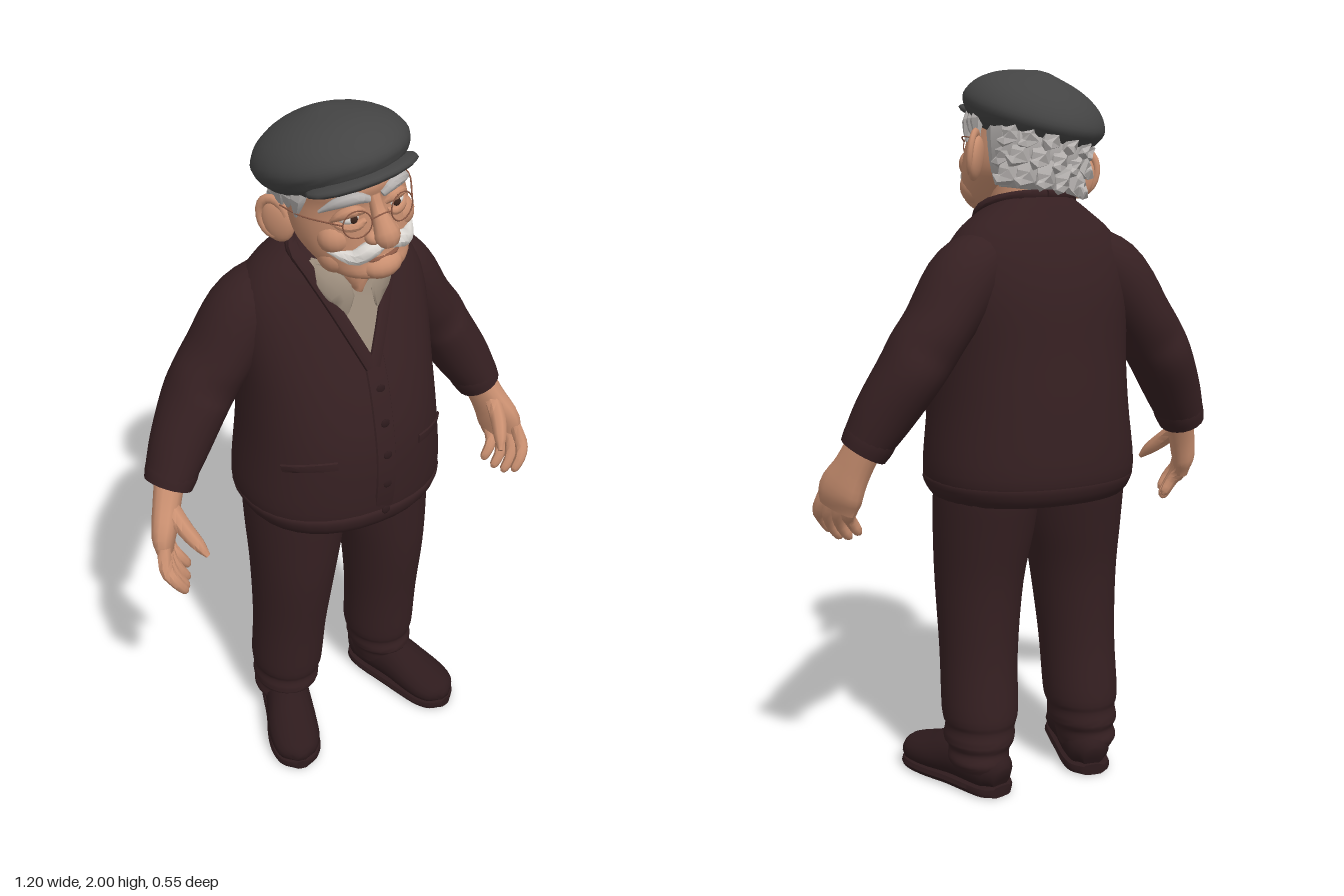
import * as THREE from 'three';
import { toCreasedNormals } from 'three/addons/utils/BufferGeometryUtils.js';

const colours = {
  wool: 0x362022, trouser: 0x362022, leather: 0x2e1b1d, capCloth: 0x444444, hairGrey: 0xb6b2b0,
  white: 0xdedad5, skin: 0xc98f70, shirtCloth: 0x9a8b7b, darkBrown: 0x3a241c, wire: 0x8a5844,
};
const mat = {};
for (const [name, color] of Object.entries(colours)) {
  mat[name] = new THREE.MeshStandardMaterial({ color });
  mat[name].name = name;
}

function add(parent, name, geometry, material, position = [0, 0, 0], scale = [1, 1, 1], rotation = [0, 0, 0]) {
  const mesh = new THREE.Mesh(geometry, material);
  mesh.name = name;
  mesh.position.set(...position);
  mesh.scale.set(...scale);
  mesh.rotation.set(...rotation);
  parent.add(mesh);
  return mesh;
}

// Rows are [x, y, z, radiusA, radiusB]; this fills in a smooth run between them.
function smooth(rows, steps) {
  const centres = new THREE.CatmullRomCurve3(rows.map(r => new THREE.Vector3(r[0], r[1], r[2])), false, 'catmullrom');
  const radii = new THREE.CatmullRomCurve3(rows.map(r => new THREE.Vector3(r[3], r[4], 0)), false, 'catmullrom');
  return Array.from({ length: steps + 1 }, (_, i) => {
    const p = centres.getPoint(i / steps), r = radii.getPoint(i / steps);
    return { p, t: centres.getTangent(i / steps), a: Math.max(r.x, 0.001), b: Math.max(r.y, 0.001) };
  });
}

// Skin cross-sections along a run of rows. ref = null keeps them level; otherwise radiusB lies along ref.
function skinRows(dense, ref, sides, n, crease) {
  const pos = [], index = [];
  const pw = v => Math.sign(v) * Math.abs(v) ** (2 / n);
  for (const { p, t, a, b } of dense) {
    const u = new THREE.Vector3(1, 0, 0), v = new THREE.Vector3(0, 0, 1);
    if (ref) {
      u.crossVectors(t, ref).normalize();
      v.crossVectors(u, t).normalize();
    }
    for (let j = 0; j < sides; j++) {
      const ang = j / sides * Math.PI * 2;
      const q = p.clone().addScaledVector(u, a * pw(Math.cos(ang))).addScaledVector(v, b * pw(Math.sin(ang)));
      pos.push(q.x, q.y, q.z);
    }
  }
  const last = dense.length - 1, c0 = dense.length * sides;
  pos.push(...dense[0].p.toArray(), ...dense[last].p.toArray());
  for (let j = 0; j < sides; j++) {
    const k = (j + 1) % sides;
    for (let i = 0; i < last; i++) {
      const a = i * sides + j, b = i * sides + k;
      index.push(a, a + sides, b, b, a + sides, b + sides);
    }
    index.push(c0, j, k, c0 + 1, last * sides + k, last * sides + j);
  }
  const g = new THREE.BufferGeometry();
  g.setAttribute('position', new THREE.Float32BufferAttribute(pos, 3));
  g.setIndex(index);
  return toCreasedNormals(g, crease);
}
const stack = (rows, steps = 24, sides = 28, n = 2, crease = 0.8) => skinRows(smooth(rows, steps), null, sides, n, crease);
const sweep = (rows, ref = [0, 0, 1], steps = 10, sides = 10, n = 2, crease = 0.8) =>
  skinRows(smooth(rows, steps), new THREE.Vector3(...ref), sides, n, crease);
const ball = new THREE.SphereGeometry(1, 16, 12);

// Cardigan body, with a lookup for its front surface
const torsoPower = 2.2;
const torso = smooth([
  [0, 0.85, -0.012, 0.265, 0.224], [0, 0.875, -0.015, 0.285, 0.243], [0, 0.93, -0.017, 0.298, 0.256],
  [0, 1.1, -0.013, 0.28, 0.252], [0, 1.25, -0.022, 0.272, 0.228], [0, 1.4, -0.042, 0.275, 0.193],
  [0, 1.5, -0.05, 0.262, 0.16], [0, 1.57, -0.05, 0.22, 0.132], [0, 1.62, -0.048, 0.16, 0.106], [0, 1.66, -0.06, 0.1, 0.07],
], 36);
function onTorso(x, y, off = 0.005) {
  let i = 0;
  while (i < torso.length - 2 && torso[i + 1].p.y < y) i++;
  const A = torso[i], B = torso[i + 1], f = (y - A.p.y) / (B.p.y - A.p.y);
  const mix = THREE.MathUtils.lerp;
  const edge = Math.max(0, 1 - Math.abs(x / mix(A.a, B.a, f)) ** torsoPower) ** (1 / torsoPower);
  return [x, y, mix(A.p.z, B.p.z, f) + mix(A.b, B.b, f) * edge + off];
}

// Thin panel following the chest between two heights
function chestPanel(y0, y1, halfWidth, off) {
  const g = new THREE.PlaneGeometry(2, 1, 12, 14), p = g.attributes.position;
  for (let i = 0; i < p.count; i++) {
    const y = y0 + (y1 - y0) * (p.getY(i) + 0.5);
    p.setXYZ(i, ...onTorso(p.getX(i) * halfWidth(y), y, off));
  }
  g.computeVertexNormals();
  return g;
}

function buildBody(root) {
  const body = new THREE.Group();
  body.name = 'cardigan';
  root.add(body);
  add(body, 'cardiganBody', skinRows(torso, null, 36, torsoPower, 0.8), mat.wool);
  add(body, 'hemBand', stack([[0, 0.848, -0.012, 0.272, 0.232], [0, 0.87, -0.013, 0.288, 0.248],
    [0, 0.9, -0.014, 0.298, 0.256], [0, 0.915, -0.014, 0.285, 0.245]], 8, 36, torsoPower), mat.wool);
  add(body, 'shirtFront', chestPanel(1.345, 1.615, y => 0.004 + 0.118 * (y - 1.345) / 0.265, 0.007), mat.shirtCloth);
  add(body, 'shirtCollar', stack([[0, 1.53, 0, 0.09, 0.1], [0, 1.57, 0, 0.108, 0.112], [0, 1.608, 0, 0.115, 0.115]], 6), mat.shirtCloth);
  add(body, 'neck', stack([[0, 1.53, 0.02, 0.02, 0.1], [0, 1.56, 0.02, 0.05, 0.107], [0, 1.59, 0.02, 0.072, 0.11],
    [0, 1.63, 0.02, 0.09, 0.105], [0, 1.7, 0.01, 0.09, 0.09]], 10), mat.skin);
  // Button band and buttons
  const band = [1.36, 1.25, 1.1, 0.98, 0.86].map(y => [...onTorso(0.01, y, 0), 0.03, 0.006]);
  add(body, 'buttonBand', sweep(band, [0, 0, 1], 16, 10, 4), mat.wool);
  for (let i = 0; i < 5; i++) add(body, 'button', ball, mat.leather, onTorso(0.012, 1.28 - i * 0.093, 0.006), [0.013, 0.013, 0.004]);

  for (const s of [1, -1]) {
    const vEdge = [[0.004, 1.34], [0.04, 1.42], [0.08, 1.51], [0.117, 1.59]].map(([x, y]) => [...onTorso(s * x, y), 0.018, 0.009]);
    add(body, 'neckBand', sweep([...vEdge, [s * 0.128, 1.635, -0.01, 0.018, 0.014], [s * 0.075, 1.662, -0.1, 0.015, 0.012],
      [0, 1.665, -0.115, 0.015, 0.012]], [0, 0.2, 1], 20, 10, 3), mat.wool);
    add(body, 'collarFlap', sweep([[s * 0.112, 1.612, 0.02, 0.014, 0.007], [s * 0.09, 1.58, 0.085, 0.03, 0.008],
      [s * 0.056, 1.535, 0.116, 0.034, 0.007], [s * 0.045, 1.48, 0.123, 0.004, 0.004]], [s * 0.4, 0.3, 1], 8, 8, 3), mat.shirtCloth);
    // Patch pocket outline
    const pocket = (name, pts, r, ref) => add(body, name, sweep(pts.map(([x, y]) => [...onTorso(s * x, y, 0), r, 0.005]), ref, 6, 8, 3), mat.wool);
    pocket('pocketTop', [[0.125, 1.09], [0.16, 1.088], [0.21, 1.08], [0.245, 1.07]], 0.014, [0, 0.02, 1]);

    // Sleeve and cuff
    add(body, 'sleeve', sweep([[s * 0.12, 1.53, -0.06, 0.07, 0.09], [s * 0.222, 1.45, -0.08, 0.1, 0.11],
      [s * 0.31, 1.33, -0.09, 0.09, 0.11], [s * 0.355, 1.265, -0.09, 0.092, 0.102], [s * 0.39, 1.21, -0.085, 0.086, 0.107],
      [s * 0.45, 1.11, -0.062, 0.08, 0.088], [s * 0.495, 1.03, -0.042, 0.066, 0.076]], [0, 0, 1], 26, 20), mat.wool);
    add(body, 'cuff', sweep([[s * 0.47, 1.072, -0.052, 0.068, 0.074], [s * 0.488, 1.038, -0.045, 0.07, 0.078],
      [s * 0.503, 1.008, -0.038, 0.064, 0.074]], [0, 0, 1], 6, 20), mat.wool);
    buildHand(root, s);
    buildLeg(root, s);
  }
}

// Broad hand, palm turned inwards and a little forwards
function buildHand(root, s) {
  const hand = new THREE.Group();
  hand.name = s > 0 ? 'leftHand' : 'rightHand';
  root.add(hand);
  add(hand, 'palm', sweep([[s * 0.495, 1.03, -0.04, 0.042, 0.048], [s * 0.523, 0.96, -0.012, 0.038, 0.055],
    [s * 0.547, 0.895, 0.015, 0.034, 0.07], [s * 0.553, 0.845, 0.03, 0.021, 0.06]], [s * 0.55, 0, 1], 10, 14, 2.5), mat.skin);
  for (let k = 0; k < 4; k++) {
    const x = 0.573 - 0.016 * k, z = 0.075 - 0.03 * k, drop = [0.015, 0, 0.003, 0.02][k];
    add(hand, 'finger', sweep([[s * x, 0.885, z - 0.008, 0.019, 0.019], [s * (x + 0.008), 0.835, z + 0.02, 0.02, 0.019],
      [s * (x - 0.006), 0.79 + drop, z + 0.042, 0.017, 0.016], [s * (x - 0.028), 0.755 + drop, z + 0.046, 0.014, 0.013],
      [s * (x - 0.036), 0.745 + drop, z + 0.046, 0.005, 0.005]], [0, 0, 1], 9, 8), mat.skin);
  }
  add(hand, 'thumb', sweep([[s * 0.525, 0.975, 0.005, 0.022, 0.026], [s * 0.51, 0.93, 0.065, 0.024, 0.024],
    [s * 0.49, 0.895, 0.108, 0.019, 0.019], [s * 0.475, 0.868, 0.135, 0.007, 0.007]], [1, 0, 0], 8, 8), mat.skin);
}

function buildLeg(root, s) {
  const leg = new THREE.Group();
  leg.name = s > 0 ? 'leftLeg' : 'rightLeg';
  root.add(leg);
  add(leg, 'trouserLeg', stack([[s * 0.175, 0.07, -0.045, 0.075, 0.09], [s * 0.178, 0.095, -0.045, 0.084, 0.1],
    [s * 0.172, 0.125, -0.04, 0.084, 0.1], [s * 0.17, 0.15, -0.035, 0.098, 0.114], [s * 0.166, 0.19, -0.035, 0.096, 0.11],
    [s * 0.165, 0.23, -0.032, 0.106, 0.118], [s * 0.16, 0.4, -0.016, 0.108, 0.123], [s * 0.152, 0.6, -0.005, 0.12, 0.145],
    [s * 0.141, 0.75, -0.012, 0.135, 0.166], [s * 0.136, 0.86, -0.02, 0.138, 0.18], [s * 0.136, 0.9, -0.02, 0.13, 0.17]], 40, 24), mat.trouser);
  const shoe = [[0.15, 0.05, -0.138, 0.03, 0.035], [0.156, 0.064, -0.11, 0.058, 0.058], [0.166, 0.072, -0.06, 0.068, 0.068],
    [0.195, 0.078, 0.03, 0.07, 0.074], [0.225, 0.062, 0.11, 0.076, 0.058], [0.244, 0.052, 0.17, 0.073, 0.047],
    [0.254, 0.046, 0.21, 0.055, 0.038], [0.26, 0.04, 0.234, 0.015, 0.015]];
  add(leg, 'shoe', sweep(shoe.map(([x, ...r]) => [s * x, ...r]), [0, 1, 0], 24, 16), mat.leather);
  add(leg, 'sole', sweep(shoe.map(([x, y, z, w]) => [s * x, 0.016, z * 1.01, w + 0.002, 0.016]), [0, 1, 0], 24, 12, 4), mat.leather);
}

function buildHead(root) {
  const head = new THREE.Group();
  head.name = 'head';
  root.add(head);
  add(head, 'face', stack([[0, 1.607, 0.14, 0.05, 0.055], [0, 1.632, 0.125, 0.098, 0.098], [0, 1.67, 0.095, 0.128, 0.12],
    [0, 1.71, 0.07, 0.145, 0.142], [0, 1.76, 0.055, 0.15, 0.153], [0, 1.82, 0.045, 0.146, 0.158],
    [0, 1.87, 0.05, 0.143, 0.165], [0, 1.93, 0.04, 0.12, 0.135]], 26, 28), mat.skin);
  add(head, 'chin', ball, mat.skin, [0, 1.647, 0.195], [0.055, 0.036, 0.043]);
  add(head, 'noseBridge', sweep([[0, 1.84, 0.2, 0.016, 0.016], [0, 1.8, 0.213, 0.018, 0.02], [0, 1.765, 0.235, 0.028, 0.026],
    [0, 1.742, 0.243, 0.033, 0.03], [0, 1.724, 0.23, 0.018, 0.016]], [0, 0, 1], 10, 12), mat.skin);
  add(head, 'lowerLip', sweep([[-0.06, 1.688, 0.185, 0.004, 0.004], [-0.03, 1.674, 0.212, 0.006, 0.006], [0.03, 1.674, 0.212, 0.006, 0.006],
    [0.06, 1.688, 0.185, 0.004, 0.004]], [0, 0, 1], 10, 8), mat.wire);
  add(head, 'glassesBridge', sweep([[-0.026, 1.795, 0.228, 0.002, 0.002], [0, 1.803, 0.236, 0.002, 0.002], [0.026, 1.795, 0.228, 0.002, 0.002]], [0, 0, 1], 6, 6), mat.wire);

  for (const s of [1, -1]) {
    add(head, 'nostril', ball, mat.skin, [s * 0.027, 1.74, 0.218], [0.019, 0.018, 0.022]);
    add(head, 'cheek', ball, mat.skin, [s * 0.085, 1.735, 0.14], [0.048, 0.045, 0.046]);
    add(head, 'jowl', ball, mat.skin, [s * 0.088, 1.675, 0.12], [0.042, 0.048, 0.05]);
    add(head, 'eye', ball, mat.white, [s * 0.062, 1.794, 0.178], [0.026, 0.016, 0.025]);
    add(head, 'iris', ball, mat.darkBrown, [s * 0.06, 1.795, 0.2], [0.01, 0.011, 0.006]);
    const arc = (name, pts, r, m) => add(head, name, sweep(pts.map(([x, y, z], i) => [s * x, y, z, r * [0.6, 1, 0.9, 0.25][i], r * [0.6, 1, 0.9, 0.25][i]]), [0, 0, 1], 10, 8), m);
    arc('upperLid', [[0.03, 1.805, 0.195], [0.055, 1.815, 0.198], [0.085, 1.808, 0.182], [0.105, 1.788, 0.16]], 0.014, mat.skin);
    arc('eyeBag', [[0.03, 1.783, 0.2], [0.055, 1.774, 0.197], [0.082, 1.776, 0.184], [0.105, 1.787, 0.16]], 0.013, mat.skin);
    arc('eyebrow', [[0.018, 1.838, 0.21], [0.05, 1.852, 0.208], [0.09, 1.845, 0.186], [0.125, 1.82, 0.15]], 0.015, mat.hairGrey);
    arc('moustache', [[0.002, 1.714, 0.22], [0.035, 1.712, 0.22], [0.075, 1.694, 0.197], [0.118, 1.71, 0.15]], 0.022, mat.white);
    add(head, 'glassesRim', new THREE.TorusGeometry(0.036, 0.0018, 6, 24), mat.wire, [s * 0.062, 1.79, 0.219], [1, 1, 1], [0, s * 0.25, 0]);
    add(head, 'glassesTemple', sweep([[s * 0.097, 1.797, 0.21, 0.002, 0.002], [s * 0.15, 1.8, 0.11, 0.002, 0.002],
      [s * 0.16, 1.79, 0, 0.002, 0.002]], [0, 1, 0], 8, 6), mat.wire);
    // Ear with a raised rim, flaring out towards the back
    add(head, 'ear', ball, mat.skin, [s * 0.162, 1.738, -0.012], [0.02, 0.06, 0.044], [0, -s * 0.7, 0]);
    add(head, 'earRim', new THREE.TorusGeometry(0.034, 0.009, 8, 18), mat.skin, [s * 0.173, 1.752, -0.016], [1.05, 1.5, 1], [0, Math.PI / 2 - s * 0.7, 0]);
    // Temple hair
    for (let i = 0; i < 3; i++) {
      const z = 0.095 - i * 0.036;
      add(head, 'templeHair', sweep([[s * (0.126 + i * 0.006), 1.885, z, 0.022, 0.03], [s * (0.146 + i * 0.006), 1.84, z - 0.006, 0.018, 0.028],
        [s * 0.152, 1.785 + 0.012 * (i % 2), z - 0.018, 0.003, 0.004]], [0, 0, 1], 4, 6, 2, 0.3), mat.hairGrey);
    }
  }
  // Hair at the back: a mass with broad curling locks
  add(head, 'hairMass', stack([[0, 1.675, -0.04, 0.09, 0.065], [0, 1.71, -0.05, 0.122, 0.1], [0, 1.77, -0.055, 0.142, 0.118],
    [0, 1.84, -0.045, 0.15, 0.118], [0, 1.89, -0.03, 0.14, 0.1]], 8, 16, 2, 0.3), mat.hairGrey);
  for (let row = 0; row < 3; row++) {
    for (let i = 0; i < 6; i++) {
      const a = (i - 2.5 + (row % 2 - 0.5) * 0.4) * 0.42, y = 1.84 - row * 0.05, lift = 0.018 * ((i * 5 + row * 3) % 4) / 3;
      const at = (r, h, w, turn) => [Math.sin(a + turn) * (0.018 + r), h, -0.05 - Math.cos(a + turn) * r, w, w];
      add(head, 'hairLock', sweep([at(0.082, y + 0.01, 0.038, 0), at(0.104 - row * 0.005, y - 0.022, 0.036, 0.05),
        at(0.12 + lift - row * 0.005, y - 0.054, 0.02, 0.14), at(0.137 + lift - row * 0.007, y - 0.06 + lift, 0.002, 0.26)],
      [0.1, 1, 0.1], 4, 5, 2, 0.2), mat.hairGrey);
    }
  }

  // Flat cap, raised at the front and low at the back
  const cap = new THREE.Group();
  cap.name = 'flatCap';
  cap.position.set(-0.008, 1.866, 0.022);
  cap.rotation.x = -0.25;
  head.add(cap);
  add(cap, 'capCrown', stack([[0, -0.04, -0.005, 0.152, 0.175], [0, -0.01, 0, 0.18, 0.21], [0, 0.028, 0, 0.192, 0.224],
    [0, 0.072, 0, 0.165, 0.19], [0, 0.108, 0, 0.105, 0.125], [0, 0.132, 0, 0.02, 0.025]], 20, 28), mat.capCloth);
  add(cap, 'capVisor', ball, mat.capCloth, [0, -0.022, 0.148], [0.15, 0.022, 0.088]);

  // Tilt the whole head a little to its right
  for (const part of head.children) part.position.y -= 1.66;
  head.position.set(0.008, 1.66, 0);
  head.rotation.z = 0.15;
}

export function createModel() {
  const root = new THREE.Group();
  root.name = 'oldManInCap';
  buildBody(root);
  buildHead(root);
  return root;
}
